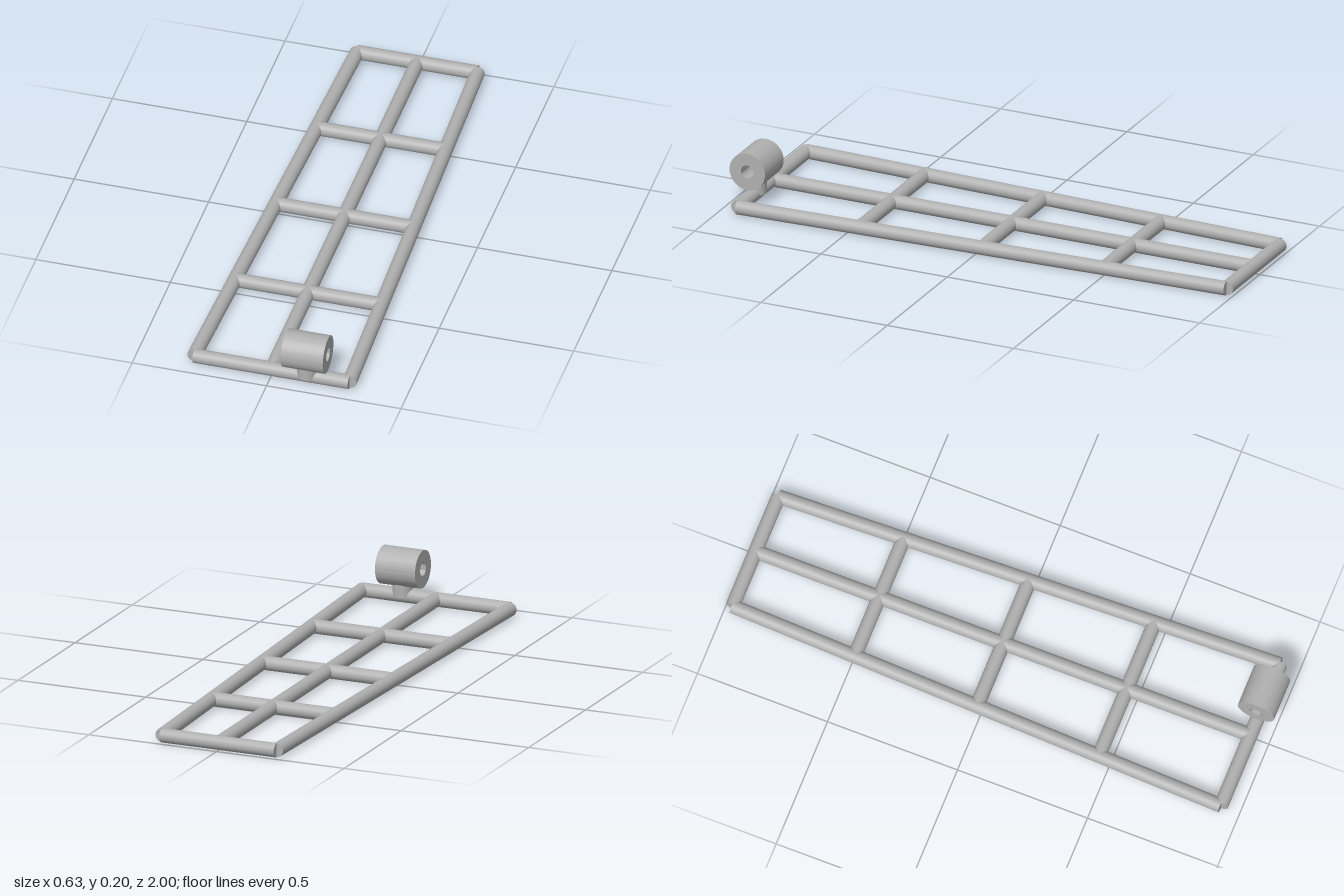
import * as THREE from 'three';
import { toCreasedNormals } from 'three/addons/utils/BufferGeometryUtils.js';

const R = 0.026;               // tube radius, also the height of the tube axes
const FRONT = 0.93, BACK = -0.974;

export function createModel() {
  const model = new THREE.Group();
  const steel = new THREE.MeshStandardMaterial({ color: 0xb0b0b0 });
  steel.name = 'grey steel';

  const add = (name, geometry) => {
    const mesh = new THREE.Mesh(geometry, steel);
    mesh.name = name;
    model.add(mesh);
    return mesh;
  };

  // Flat-ended round tube between two points on the frame plane
  const tube = (name, x1, z1, x2, z2) => {
    const a = new THREE.Vector3(x1, R, z1);
    const b = new THREE.Vector3(x2, R, z2);
    const mesh = add(name, new THREE.CylinderGeometry(R, R, a.distanceTo(b), 40));
    mesh.position.copy(a).add(b).multiplyScalar(0.5);
    mesh.quaternion.setFromUnitVectors(new THREE.Vector3(0, 1, 0), b.sub(a).normalize());
  };

  // Half width of the tapering frame at depth z
  const halfWidth = (z) => THREE.MathUtils.mapLinear(z, BACK, FRONT, 0.224, 0.289);

  // Long side rails and centre spine
  tube('leftRail', halfWidth(FRONT), FRONT, halfWidth(BACK), BACK);
  tube('rightRail', -halfWidth(FRONT), FRONT, -halfWidth(BACK), BACK);
  tube('centreSpine', 0, FRONT, 0, BACK);

  // Five evenly spaced cross bars
  const names = ['backBar', 'crossBar1', 'crossBar2', 'crossBar3', 'frontBar'];
  names.forEach((name, i) => {
    const z = THREE.MathUtils.lerp(BACK, FRONT, i / 4);
    tube(name, -halfWidth(z), z, halfWidth(z), z);
  });

  // Short post rising from the front bar
  const post = add('hingePost', new THREE.CylinderGeometry(0.037, 0.037, 0.054, 40));
  post.position.set(0.131, R + 0.027, FRONT);

  // Hinge barrel, bored through along x
  const ring = new THREE.Shape().absarc(0, 0, 0.07, 0, Math.PI * 2);
  ring.holes.push(new THREE.Path().absarc(0, 0, 0.025, 0, Math.PI * 2, true));
  const barrelGeometry = new THREE.ExtrudeGeometry(ring, {
    depth: 0.157, bevelEnabled: false, curveSegments: 40,
  });
  const barrel = add('hingeBarrel', toCreasedNormals(barrelGeometry, 0.7));
  barrel.rotation.y = Math.PI / 2;
  barrel.position.set(0.052, 0.132, FRONT);

  return model;
}
